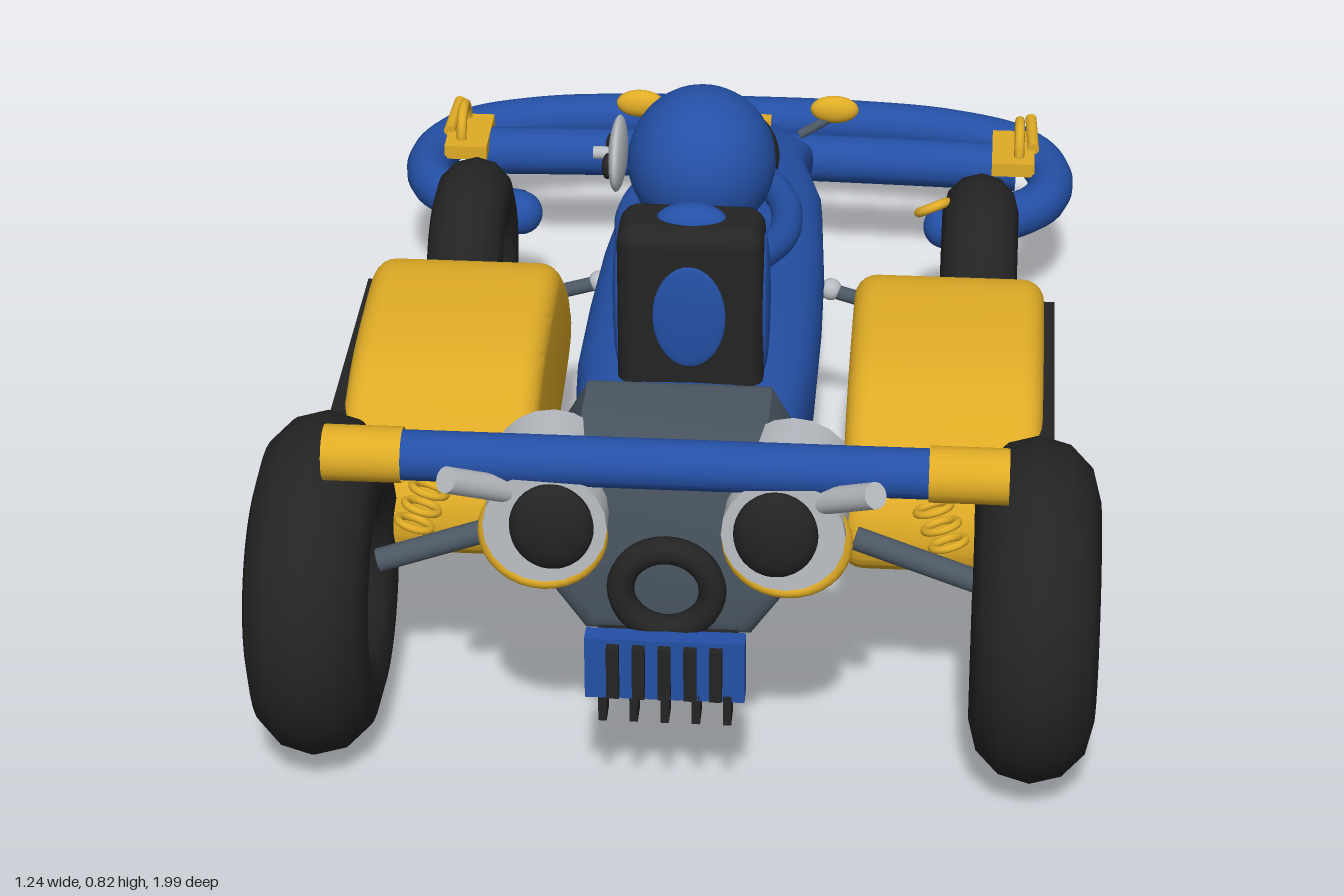
import * as THREE from 'three';
import { toCreasedNormals } from 'three/addons/utils/BufferGeometryUtils.js';
import { RoundedBoxGeometry } from 'three/addons/geometries/RoundedBoxGeometry.js';

const paint = (name, color, side = THREE.FrontSide) => {
  const m = new THREE.MeshStandardMaterial({ color, side });
  m.name = name;
  return m;
};
const V = (x, y, z) => new THREE.Vector3(x, y, z);

export function createModel() {
  const kart = new THREE.Group();
  kart.name = 'kart';
  const blue = paint('blue', 0x2450a6, THREE.DoubleSide);
  const yellow = paint('yellow', 0xe0ac26, THREE.DoubleSide);
  const black = paint('black', 0x242424);
  const grey = paint('slateGrey', 0x4b5763);
  const silver = paint('silver', 0xb8bcc2);

  const add = (name, geo, mat, x = 0, y = 0, z = 0) => {
    const m = new THREE.Mesh(geo, mat);
    m.name = name;
    m.position.set(x, y, z);
    kart.add(m);
    return m;
  };
  const ball = (name, mat, x, y, z, rx, ry, rz) =>
    add(name, new THREE.SphereGeometry(1, 28, 18).scale(rx, ry, rz), mat, x, y, z);
  const box = (name, mat, x, y, z, w, h, d) => add(name, new THREE.BoxGeometry(w, h, d), mat, x, y, z);
  const ring = (name, mat, x, y, z, R, r) => add(name, new THREE.TorusGeometry(R, r, 12, 32), mat, x, y, z);
  const rod = (name, mat, a, b, r, open = false) => {
    const d = b.clone().sub(a);
    const m = add(name, new THREE.CylinderGeometry(r, r, d.length(), 20, 1, open), mat);
    m.position.copy(a).add(b).multiplyScalar(0.5);
    m.quaternion.setFromUnitVectors(V(0, 1, 0), d.normalize());
    return m;
  };
  const pipe = (name, mat, pts, r, n = 48) =>
    add(name, new THREE.TubeGeometry(new THREE.CatmullRomCurve3(pts), n, r, 14), mat);
  // Side profile drawn as (z, y), extruded across x and centred on it
  const sidePlate = (shape, width, bevel) => {
    const depth = width - 2 * bevel;
    const g = new THREE.ExtrudeGeometry(shape, {
      depth, bevelEnabled: bevel > 0, bevelSize: bevel, bevelThickness: bevel,
      bevelOffset: -bevel, bevelSegments: 5, curveSegments: 10,
    });
    return toCreasedNormals(g.translate(0, 0, -depth / 2).rotateY(-Math.PI / 2), 0.6);
  };
  const polygon = (pts) => new THREE.Shape(pts.map(([a, b]) => new THREE.Vector2(a, b)));

  // Body: rounded cross-sections [z, half width, bottom, top]
  const stations = [
    [-0.73, 0.075, 0.27, 0.33], [-0.68, 0.09, 0.265, 0.35], [-0.6, 0.138, 0.27, 0.372],
    [-0.53, 0.128, 0.28, 0.387], [-0.35, 0.165, 0.28, 0.42], [-0.1, 0.18, 0.28, 0.45],
    [0.1, 0.185, 0.28, 0.465], [0.3, 0.185, 0.28, 0.48], [0.5, 0.165, 0.29, 0.475], [0.61, 0.14, 0.3, 0.46],
  ];
  const N = 28, pos = [], idx = [];
  const soft = (v) => Math.sign(v) * Math.abs(v) ** 0.6;
  for (const [z, w, lo, hi] of stations)
    for (let i = 0; i < N; i++) {
      const a = (i / N) * Math.PI * 2;
      pos.push(w * soft(Math.cos(a)), (lo + hi) / 2 + ((hi - lo) / 2) * soft(Math.sin(a)), z);
    }
  for (let s = 0; s < stations.length - 1; s++)
    for (let i = 0; i < N; i++) {
      const a = s * N + i, b = s * N + ((i + 1) % N);
      idx.push(a, b, a + N, b, b + N, a + N);
    }
  const last = (stations.length - 1) * N;
  for (let i = 1; i < N - 1; i++) idx.push(0, i + 1, i, last, last + i, last + i + 1);
  // Corners run counter-clockwise seen from the outside
  for (let i = 0; i < idx.length; i += 3) {
    if (i < (stations.length - 1) * N * 6) [idx[i + 1], idx[i + 2]] = [idx[i + 2], idx[i + 1]];
  }
  for (let i = 0; i < (stations.length - 1) * N * 6; i += 3) [idx[i + 1], idx[i + 2]] = [idx[i + 2], idx[i + 1]];
  const hull = new THREE.BufferGeometry();
  hull.setAttribute('position', new THREE.Float32BufferAttribute(pos, 3));
  hull.setIndex(idx);
  add('body', toCreasedNormals(hull, 0.7), blue);
  box('floorTray', black, 0, 0.28, 0.02, 0.26, 0.03, 1.26);
  box('noseBadgePlate', yellow, 0, 0.352, -0.69, 0.12, 0.01, 0.025);
  for (let i = -2; i <= 2; i++) box('noseFin', black, i * 0.035, 0.255, -0.74, 0.012, 0.035, 0.09);

  // Wheels and suspension
  const wheel = (name, x, y, z, R, r, hub) => {
    add(name + 'Tyre', new THREE.TorusGeometry(R, r, 12, 36).rotateY(Math.PI / 2), black, x, y, z);
    ball(name + 'Hub', silver, x, y, z, r * 0.7, hub, hub);
  };
  const podProfile = new THREE.Shape();
  podProfile.moveTo(-0.14, 0.27);
  podProfile.splineThru([[-0.115, 0.215], [-0.02, 0.185], [0.17, 0.165], [0.4, 0.185], [0.52, 0.21], [0.55, 0.27],
    [0.52, 0.35], [0.43, 0.395], [0.31, 0.44], [0.17, 0.455], [0.05, 0.453], [-0.02, 0.415], [-0.1, 0.34],
    [-0.14, 0.27]].map(([a, b]) => new THREE.Vector2(a, b)));
  const podGeo = sidePlate(podProfile, 0.3, 0.035);
  const panelGeo = sidePlate(polygon([[0.46, 0.28], [0.4, 0.352], [-0.02, 0.365], [-0.06, 0.295],
    [0.03, 0.235], [0.33, 0.21]]), 0.02, 0);

  for (const s of [-1, 1]) {
    wheel('rearWheel', s * 0.528, 0.262, 0.695, 0.164, 0.092, 0.078);
    wheel('frontWheel', s * 0.43, 0.217, -0.37, 0.123, 0.064, 0.064);
    rod('rearSuspensionArm', grey, V(s * 0.45, 0.275, 0.65), V(s * 0.26, 0.33, 0.625), 0.018);
    for (let i = 0; i < 3; i++) {
      const coil = ring('rearSpringCoil', yellow, s * (0.375 + i * 0.012), 0.38 - i * 0.03, 0.615, 0.026, 0.006);
      coil.rotation.set(1.3, s * 0.3, 0);
    }
    rod('frontSuspensionRod', grey, V(s * 0.15, 0.34, -0.13), V(s * 0.26, 0.31, -0.125), 0.012);
    ball('rodJoint', silver, s * 0.19, 0.33, -0.13, 0.018, 0.018, 0.018);

    // Side pods with inset panels
    add('sidePod', podGeo, yellow, s * 0.385, 0, 0);
    add('podPanel', panelGeo, blue, s * 0.54, 0, 0);
    box('podStrip', black, s * 0.54, 0.38, 0.205, 0.026, 0.014, 0.43);

    // Nose lights and bumper brackets
    ball('noseLight', yellow, s * 0.17, 0.372, -0.7, 0.042, 0.025, 0.018);
    rod('noseLightStem', grey, V(s * 0.11, 0.33, -0.68), V(s * 0.17, 0.36, -0.7), 0.008);
    box('bumperBracket', yellow, s * 0.485, 0.25, -0.79, 0.075, 0.025, 0.13);
    add('bracketHoop', new THREE.TorusGeometry(0.045, 0.009, 8, 20, Math.PI).rotateY(Math.PI / 2),
      yellow, s * 0.495, 0.26, -0.8);
    rod('bracketPin', yellow, V(s * 0.52, 0.265, -0.78), V(s * 0.515, 0.265, -0.9), 0.01);

    // Rear wing end sleeves
    rod('wingSleeve', yellow, V(s * 0.37, 0.605, 0.885), V(s * 0.482, 0.605, 0.885), 0.04, true);

    // Exhaust cans
    rod('exhaustCan', silver, V(s * 0.175, 0.505, 0.73), V(s * 0.168, 0.515, 0.92), 0.088);
    ball('exhaustMouth', black, s * 0.158, 0.52, 0.925, 0.06, 0.068, 0.028);
    ring('exhaustClamp', yellow, s * 0.173, 0.494, 0.9, 0.082, 0.011);
    rod('exhaustTip', silver, V(s * 0.21, 0.555, 0.89), V(s * 0.298, 0.622, 0.975), 0.019);

    // Driver arms
    pipe('arm', blue, [V(s * 0.075, 0.555, 0.2), V(s * 0.12, 0.535, 0.07), V(s * 0.115, 0.52, -0.07),
      V(s * 0.06, 0.512, -0.2)], 0.025, 24);
    ball('hand', blue, s * 0.06, 0.512, -0.205, 0.028, 0.028, 0.028);
    ball('headrestSidePad', blue, s * 0.11, 0.59, 0.38, 0.009, 0.115, 0.036);
  }
  const frontCoil = ring('frontSpringCoil', yellow, 0.35, 0.36, -0.37, 0.025, 0.008);
  frontCoil.rotation.set(1.1, 0.4, 0);

  // Front bumper: wrapping outer tube and inner cross bar
  const half = [[0.37, -0.57], [0.46, -0.6], [0.535, -0.67], [0.55, -0.77], [0.5, -0.875], [0.37, -0.935], [0.2, -0.958]];
  pipe('frontBumper', blue, [...half.map(([x, z]) => V(x, 0.217, z)), V(0, 0.217, -0.962),
    ...half.slice().reverse().map(([x, z]) => V(-x, 0.217, z))], 0.04, 96);
  for (const s of [-1, 1]) ball('bumperEnd', blue, s * 0.37, 0.217, -0.57, 0.038, 0.038, 0.038);
  pipe('bumperCrossBar', blue, [V(-0.49, 0.22, -0.795), V(-0.25, 0.22, -0.805), V(0, 0.22, -0.81),
    V(0.25, 0.22, -0.805), V(0.49, 0.22, -0.795)], 0.042);

  // Rear wing tube
  rod('rearWingTube', blue, V(-0.375, 0.605, 0.885), V(0.375, 0.605, 0.885), 0.036, true);

  // Engine block, rear ring and grille
  const block = new THREE.ExtrudeGeometry(polygon([[-0.12, 0.3], [0.12, 0.3], [0.175, 0.38], [0.18, 0.5],
    [0.135, 0.58], [-0.135, 0.58], [-0.18, 0.5], [-0.175, 0.38]]),
  { depth: 0.21, bevelSize: 0.03, bevelThickness: 0.03, bevelOffset: -0.03, bevelSegments: 4 });
  add('engineBlock', toCreasedNormals(block, 0.6), grey, 0, 0, 0.625);
  ring('engineRing', black, 0, 0.39, 0.875, 0.066, 0.02);
  box('rearGrille', blue, 0, 0.28, 0.905, 0.23, 0.1, 0.03);
  box('grilleMount', black, 0, 0.3, 0.76, 0.2, 0.03, 0.27);
  for (let i = -2; i <= 2; i++) {
    box('grilleSlot', black, i * 0.037, 0.28, 0.925, 0.018, 0.085, 0.016);
    box('diffuserFin', black, i * 0.045, 0.215, 0.9, 0.012, 0.05, 0.04);
  }

  // Headrest
  add('headrest', new RoundedBoxGeometry(0.22, 0.3, 0.115, 4, 0.03), black, 0, 0.58, 0.38);
  ball('headrestTopPad', blue, 0, 0.72, 0.38, 0.055, 0.03, 0.032);
  ball('headrestRearPad', blue, 0, 0.59, 0.438, 0.055, 0.085, 0.007);

  // Driver
  ball('torso', blue, 0, 0.51, 0.2, 0.105, 0.11, 0.12);
  ball('head', blue, 0, 0.713, 0.165, 0.114, 0.116, 0.12);
  // Eye discs on the front and right of the head
  ball('frontDisc', silver, 0, 0.705, 0.035, 0.08, 0.052, 0.016);
  ball('sideDisc', silver, -0.132, 0.705, 0.135, 0.014, 0.054, 0.078);
  for (const s of [-1, 1]) {
    ball('frontDiscSpot', black, s * 0.035, 0.7, 0.02, 0.02, 0.02, 0.01);
    ball('sideDiscSpot', black, -0.145, 0.7, 0.135 + s * 0.035, 0.009, 0.02, 0.02);
  }
  rod('frontDiscPin', silver, V(0, 0.705, 0.03), V(0, 0.705, -0.012), 0.01);
  rod('sideDiscPin', silver, V(-0.13, 0.705, 0.135), V(-0.17, 0.705, 0.135), 0.01);

  // Steering
  ring('steeringWheel', black, 0, 0.52, -0.228, 0.083, 0.016);
  box('steeringSpoke', black, 0, 0.52, -0.228, 0.15, 0.02, 0.012);
  rod('steeringColumn', grey, V(0, 0.45, -0.03), V(0, 0.515, -0.225), 0.015);
  ball('steeringHub', yellow, 0, 0.515, -0.235, 0.03, 0.025, 0.014);

  return kart;
}
